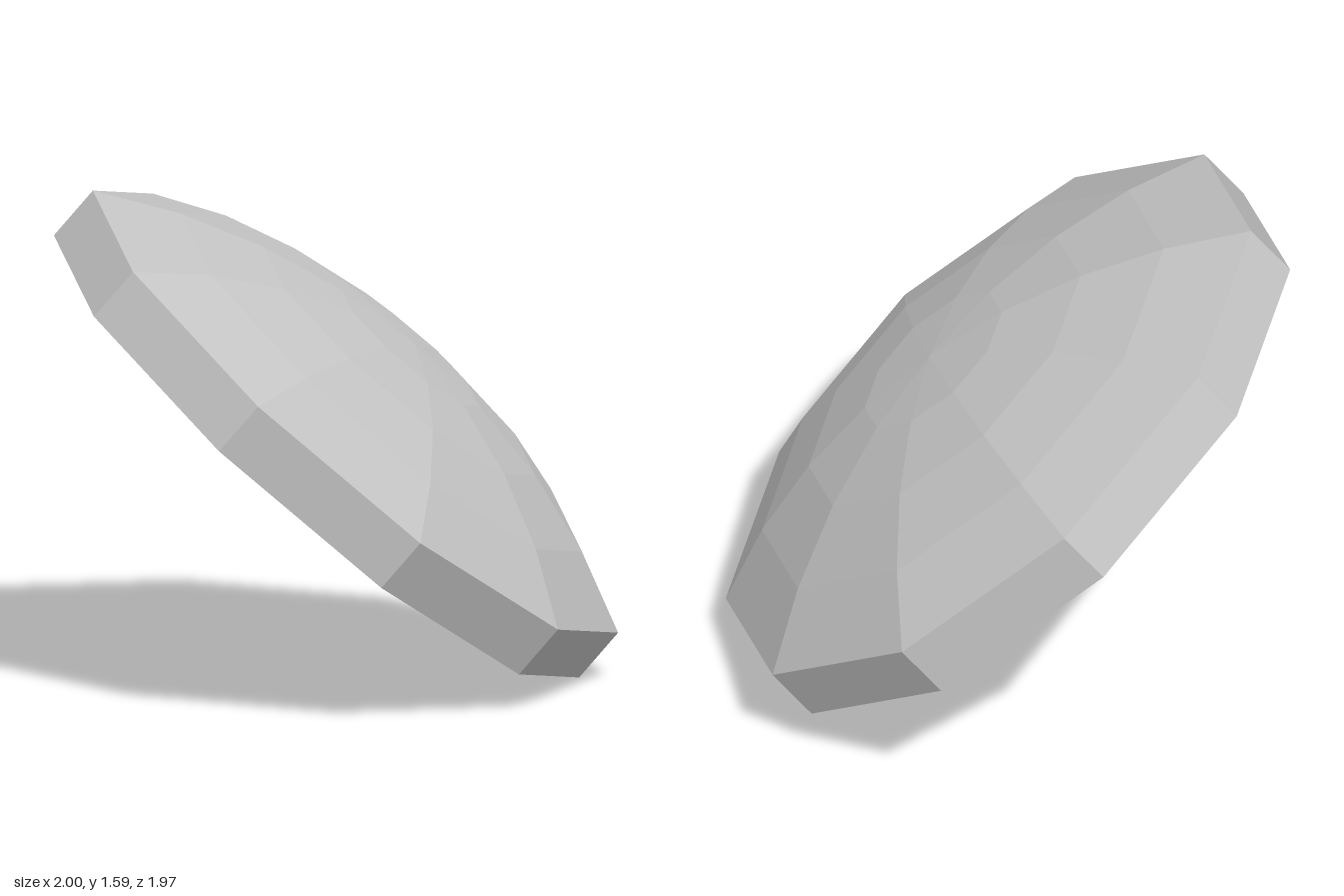
import * as THREE from 'three';

const SIDES = 10;
const RADIUS = 1.114;
const THICKNESS = 0.195;
const DOME_HEIGHT = 0.295;
const DOME_RINGS = 4;

// Faceted ten-sided surface turned from a profile running from low to high
function facetedLathe(points) {
  const profile = points.map(([r, y]) => new THREE.Vector2(r, y));
  const geometry = new THREE.LatheGeometry(profile, SIDES).toNonIndexed();
  geometry.computeVertexNormals();
  return geometry;
}

export function createModel() {
  const grey = new THREE.MeshStandardMaterial({ color: 0xc2c2c2 });
  grey.name = 'light grey';

  const model = new THREE.Group();
  model.name = 'domedDisc';
  const add = (name, points) => {
    const mesh = new THREE.Mesh(facetedLathe(points), grey);
    mesh.name = name;
    model.add(mesh);
  };

  // Shallow spherical cap in equal angular steps
  const sphereRadius = (RADIUS ** 2 + DOME_HEIGHT ** 2) / (2 * DOME_HEIGHT);
  const capAngle = Math.asin(RADIUS / sphereRadius);
  const cap = [];
  for (let i = DOME_RINGS; i >= 0; i--) {
    const a = (capAngle * i) / DOME_RINGS;
    cap.push([sphereRadius * Math.sin(a), sphereRadius * (Math.cos(a) - 1) + DOME_HEIGHT]);
  }
  add('dome', cap);

  // Straight side wall and flat underside
  add('rim', [[RADIUS, -THICKNESS], [RADIUS, 0]]);
  add('base', [[0, -THICKNESS], [RADIUS, -THICKNESS]]);

  // Tilt the disc: its axis leans forward and to the left, one corner lies along "corner"
  const axis = new THREE.Vector3(0.423, 0.761, 0.49).normalize();
  const corner = new THREE.Vector3(-0.96, 0.563, -0.045).projectOnPlane(axis).normalize();
  const side = new THREE.Vector3().crossVectors(axis, corner);
  model.quaternion.setFromRotationMatrix(new THREE.Matrix4().makeBasis(side, axis, corner));
  model.position.set(0.04, 0.869, 0.045);

  const root = new THREE.Group();
  root.name = 'model';
  root.add(model);
  return root;
}
